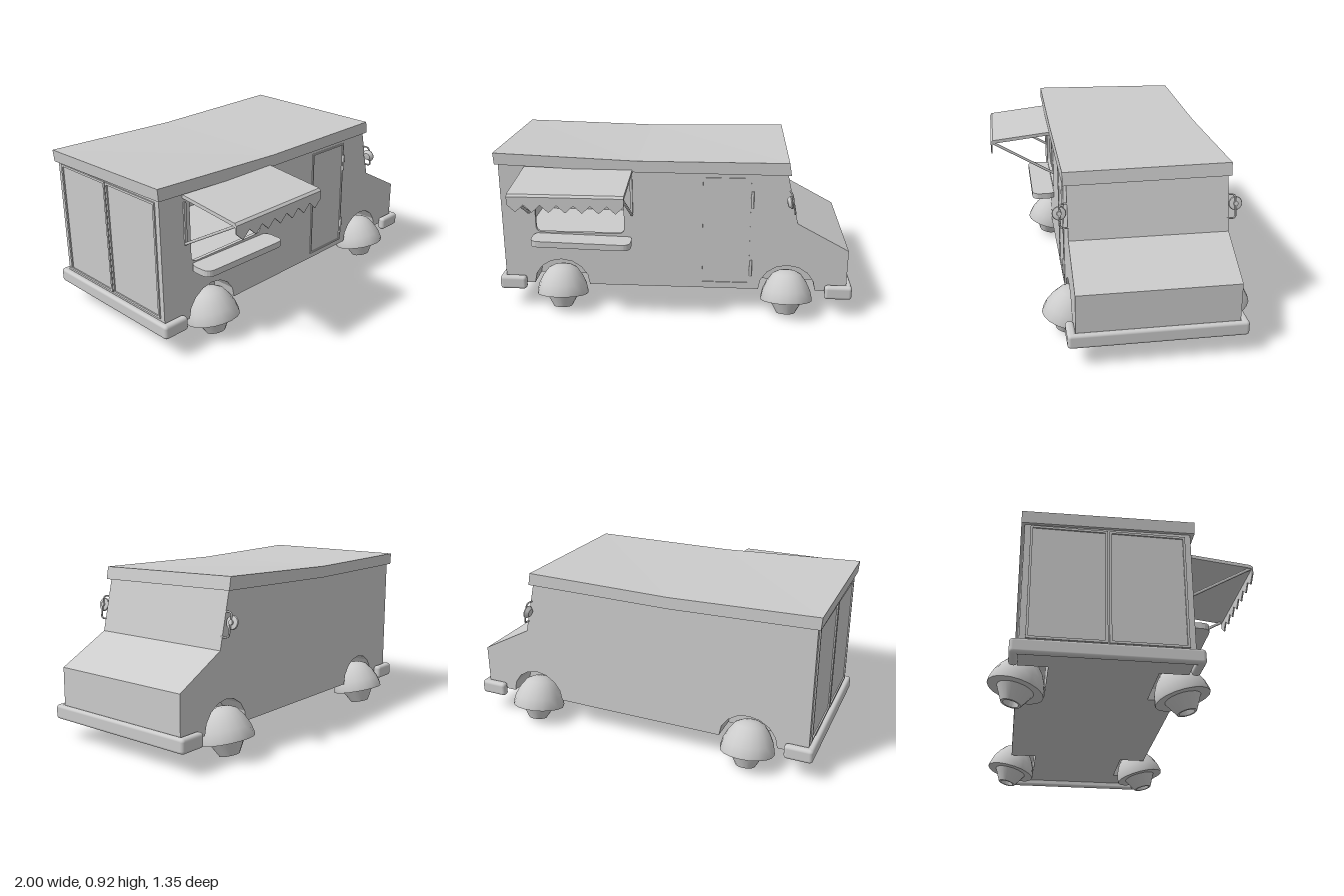
import * as THREE from 'three';
import { toCreasedNormals } from 'three/addons/utils/BufferGeometryUtils.js';
import { RoundedBoxGeometry } from 'three/addons/geometries/RoundedBoxGeometry.js';

const MID = -0.115; // z of the van's centre plane
const HALF = 0.418; // half the body width
const grey = new THREE.MeshStandardMaterial({ color: 0xcccccc });
const greyThin = new THREE.MeshStandardMaterial({ color: 0xcccccc, side: THREE.DoubleSide });
const WHEEL_X = [-0.645, 0.637];

function add(parent, name, geometry, x = 0, y = 0, z = 0, material = grey) {
  const mesh = new THREE.Mesh(geometry, material);
  mesh.name = name;
  mesh.position.set(x, y, z);
  parent.add(mesh);
  return mesh;
}

const toShape = (pts) => new THREE.Shape(pts.map(([x, y]) => new THREE.Vector2(x, y)));

// Extrusion of a side profile between two z values
function slab(shape, z0, z1) {
  return new THREE.ExtrudeGeometry(shape, { depth: z1 - z0, bevelEnabled: false, curveSegments: 6 }).translate(0, 0, z0);
}

// Round bar between points
function bar(points, radius) {
  const path = new THREE.CurvePath();
  for (let i = 1; i < points.length; i++) {
    path.add(new THREE.LineCurve3(new THREE.Vector3(...points[i - 1]), new THREE.Vector3(...points[i])));
  }
  return new THREE.TubeGeometry(path, (points.length - 1) * 4, radius, 6);
}

// Side outline of the body, with or without wheel arches
function bodyOutline(arches) {
  const pts = [[-0.97, 0.145]];
  if (arches) {
    for (const cx of WHEEL_X) {
      for (let i = 0; i <= 8; i++) {
        const a = Math.PI * (1 - i / 8);
        pts.push([cx + 0.16 * Math.cos(a), 0.145 + 0.15 * Math.sin(a)]);
      }
    }
  }
  pts.push([0.97, 0.145], [0.97, 0.39], [0.682, 0.545], [0.615, 0.835], [-0.2, 0.835], [-0.97, 0.862]);
  return toShape(pts);
}

function roundedRect(x0, y0, x1, y1, r) {
  const s = new THREE.Shape();
  s.moveTo(x0 + r, y0).lineTo(x1 - r, y0).quadraticCurveTo(x1, y0, x1, y0 + r);
  s.lineTo(x1, y1 - r).quadraticCurveTo(x1, y1, x1 - r, y1);
  s.lineTo(x0 + r, y1).quadraticCurveTo(x0, y1, x0, y1 - r);
  s.lineTo(x0, y0 + r).quadraticCurveTo(x0, y0, x0 + r, y0);
  return s;
}

// Rectangular frame with a thin border, in the xy plane
function frame(w, h, t, depth) {
  const s = toShape([[-w / 2, -h / 2], [w / 2, -h / 2], [w / 2, h / 2], [-w / 2, h / 2]]);
  const a = w / 2 - t, b = h / 2 - t;
  s.holes.push(toShape([[-a, -b], [-a, b], [a, b], [a, -b]]));
  return new THREE.ExtrudeGeometry(s, { depth, bevelEnabled: false });
}

function createBody() {
  const g = new THREE.Group();
  g.name = 'body';
  const cabin = [[-0.95, 0.31], [0.92, 0.31], [0.92, 0.39], [0.665, 0.53], [0.6, 0.815], [-0.95, 0.815]];
  const hollow = (arches) => {
    const s = bodyOutline(arches);
    s.holes.push(toShape(cabin));
    return s;
  };
  add(g, 'bodyCentre', slab(hollow(false), MID - 0.27, MID + 0.27));
  for (const side of [1, -1]) {
    const range = (a, b) => [MID + side * a, MID + side * b].sort((p, q) => p - q);
    add(g, 'wheelWells', slab(hollow(true), ...range(0.27, HALF - 0.02)));
    const skin = bodyOutline(true);
    if (side > 0) skin.holes.push(roundedRect(-0.78, 0.46, -0.28, 0.8, 0.035));
    add(g, 'sideWall', slab(skin, ...range(HALF - 0.02, HALF)));
  }
  return g;
}

// Overhanging roof with a slight kink and twist
function createRoof() {
  const s = toShape([[-0.985, 0.855], [-0.2, 0.827], [0.634, 0.825], [0.622, 0.893], [-0.2, 0.89], [-0.99, 0.92]]);
  const geo = slab(s, MID - 0.435, MID + 0.438);
  const p = geo.attributes.position;
  for (let i = 0; i < p.count; i++) {
    const t = (0.323 - p.getZ(i)) / 0.873;
    p.setY(i, p.getY(i) + t * 0.014 * p.getX(i));
  }
  geo.computeVertexNormals();
  return geo;
}

// Hovering thruster: dome above, nozzle below
function thrusterGeometry() {
  const profile = [[0, -0.045], [0.034, -0.045], [0.04, -0.075], [0.052, -0.075], [0.095, 0.002], [0.145, 0],
    [0.146, 0.012], [0.135, 0.06], [0.112, 0.107], [0.08, 0.15], [0.045, 0.167], [0, 0.172]];
  const geo = new THREE.LatheGeometry(profile.map(([x, y]) => new THREE.Vector2(x, y)), 18);
  return toCreasedNormals(geo, 0.6);
}

function createAwning() {
  const g = new THREE.Group();
  g.name = 'awning';
  const x0 = -0.825, x1 = -0.225;
  // Canopy sheet, side profile in (z, y) swept along x
  const sheet = toShape([[0.3, 0.823], [0.655, 0.783], [0.672, 0.775], [0.672, 0.79], [0.66, 0.802], [0.3, 0.842]]);
  const canopy = new THREE.ExtrudeGeometry(sheet, { depth: x1 - x0, bevelEnabled: false });
  canopy.rotateY(-Math.PI / 2).scale(1, 1, 1).translate(x1, 0, 0);
  add(g, 'awningCanopy', canopy, 0, 0, 0, greyThin);
  // Zigzag valance
  const pts = [[x1, 0.79], [x0, 0.79]];
  const teeth = 7;
  for (let i = 0; i <= teeth * 2; i++) {
    pts.push([x0 + ((x1 - x0) * i) / (teeth * 2), i % 2 ? 0.708 : 0.748]);
  }
  add(g, 'awningValance', slab(toShape(pts), 0.665, 0.672));
  for (const x of [-0.815, -0.235]) {
    add(g, 'awningStrut', bar([[x, 0.575, 0.303], [x, 0.785, 0.66]], 0.008));
    add(g, 'awningWallRail', new THREE.BoxGeometry(0.014, 0.23, 0.01), x, 0.685, 0.307);
  }
  return g;
}

function createMirror(side) {
  const g = new THREE.Group();
  g.name = side > 0 ? 'rightMirror' : 'leftMirror';
  const z = (d) => MID + side * (HALF + d);
  add(g, 'mirrorBracket', bar([[0.633, 0.732, z(-0.01)], [0.637, 0.732, z(0.028)], [0.643, 0.72, z(0.038)],
    [0.662, 0.622, z(0.038)], [0.664, 0.61, z(0.028)], [0.664, 0.61, z(-0.01)]], 0.005));
  const dish = new THREE.LatheGeometry([[0, -0.022], [0.022, -0.018], [0.037, 0], [0.034, 0.006], [0.013, 0.01],
    [0.012, 0.018], [0, 0.02]].map(([x, y]) => new THREE.Vector2(x, y)), 16);
  const mesh = add(g, 'mirrorDish', toCreasedNormals(dish, 0.6), 0.637, 0.682, z(0.04));
  mesh.rotation.z = -Math.PI / 2 + 0.2;
  return g;
}

// Bumper wrapping around one end
function createBumper(end) {
  const g = new THREE.Group();
  g.name = end > 0 ? 'frontBumper' : 'rearBumper';
  const y = end > 0 ? 0.148 : 0.155;
  add(g, 'bumperBar', new RoundedBoxGeometry(0.036, 0.076, 0.91, 3, 0.015), end * 0.982, y, MID);
  for (const side of [1, -1]) {
    add(g, 'bumperEnd', new RoundedBoxGeometry(0.152, 0.078, 0.045, 3, 0.018), end * 0.924, y, MID + side * 0.438);
  }
  return g;
}

export function createModel() {
  const van = new THREE.Group();
  van.name = 'foodVan';
  van.add(createBody(), createAwning());
  add(van, 'roof', createRoof());

  // Thrusters, leaning outwards at the bottom
  const thruster = thrusterGeometry();
  for (const x of WHEEL_X) {
    for (const side of [1, -1]) {
      add(van, 'thruster', thruster, x, 0.086, MID + side * 0.421).rotation.x = -side * 0.25;
    }
  }

  // Serving shelf below the window
  const shelf = roundedRect(-0.278, -0.07, 0.278, 0.07, 0.05);
  const shelfGeo = new THREE.ExtrudeGeometry(shelf, { depth: 0.034, bevelEnabled: false, curveSegments: 5 });
  shelfGeo.rotateX(-Math.PI / 2);
  add(van, 'servingShelf', shelfGeo, -0.512, 0.414, 0.365).rotation.z = -0.02;

  // Side door with hinges
  const wall = MID + HALF;
  add(van, 'sideDoorFrame', frame(0.28, 0.625, 0.009, 0.007), 0.291, 0.488, wall - 0.001);
  for (const y of [0.68, 0.275]) {
    add(van, 'doorHinge', new THREE.CylinderGeometry(0.008, 0.008, 0.095, 8), 0.431, y, wall + 0.004);
  }

  // Rear double doors
  for (const side of [1, -1]) {
    const door = frame(0.385, 0.63, 0.012, 0.008);
    add(van, 'rearDoorFrame', door, -0.969, 0.52, MID + side * 0.196).rotation.y = -Math.PI / 2;
  }

  for (const s of [1, -1]) van.add(createMirror(s), createBumper(s));
  return van;
}
